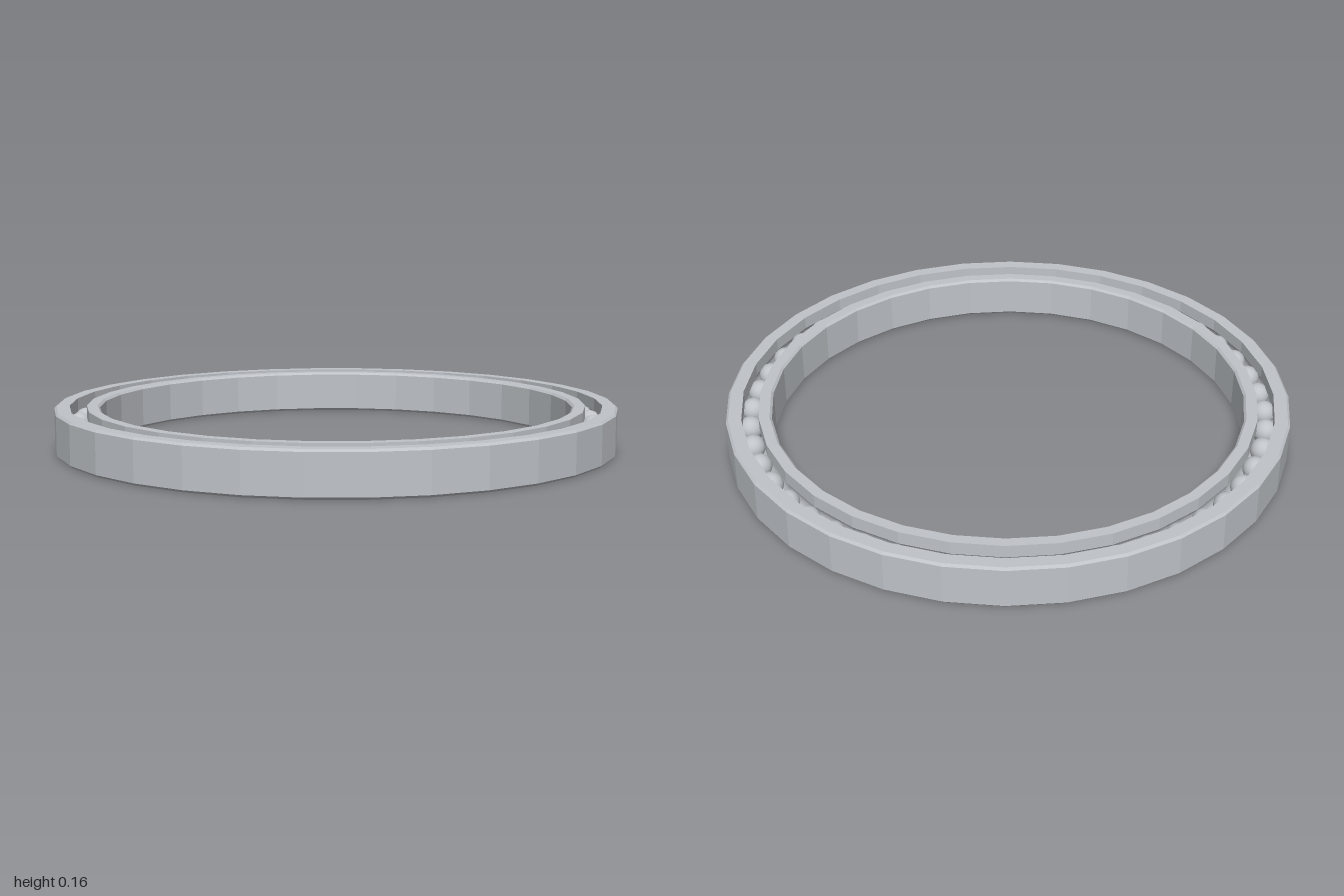
import * as THREE from 'three';

const HEIGHT = 0.155, MID = HEIGHT / 2;
const PITCH = 0.916;        // radius of the circle the balls run on
const GAP = 0.03;           // half the gap between the two races
const BALL = 0.043, GROOVE = 0.044;
const BEVEL = 0.008;

// Faceted ring: bevelled wall on one side, ball groove on the other.
// side = 1 for the outer race, -1 for the inner race.
function makeRace(name, wall, side, material) {
  const edge = PITCH + side * GAP;
  const w = wall - side * BEVEL;
  const pts = [
    [edge, 0], [w, 0], [wall, BEVEL],
    [wall, HEIGHT - BEVEL], [w, HEIGHT], [edge, HEIGHT],
  ];
  // Groove arc, from top to bottom
  const a = Math.acos(GAP / GROOVE), steps = 8;
  for (let i = 0; i <= steps; i++) {
    const t = a - (2 * a * i) / steps;
    pts.push([PITCH + side * GROOVE * Math.cos(t), MID + GROOVE * Math.sin(t)]);
  }
  pts.push(pts[0]);
  if (side < 0) pts.reverse();

  const profile = pts.map(([r, y]) => new THREE.Vector2(r, y));
  const geometry = new THREE.LatheGeometry(profile, 32).toNonIndexed();
  geometry.computeVertexNormals();   // flat facets
  const mesh = new THREE.Mesh(geometry, material);
  mesh.name = name;
  return mesh;
}

export function createModel() {
  const model = new THREE.Group();
  model.name = 'ballBearing';
  const steel = new THREE.MeshStandardMaterial({ color: 0xc0c4c9 });
  steel.name = 'steel';

  model.add(makeRace('outerRace', 1, 1, steel));
  model.add(makeRace('innerRace', 0.84, -1, steel));

  // Ring of balls between the races
  const balls = new THREE.Group();
  balls.name = 'balls';
  const sphere = new THREE.SphereGeometry(BALL, 20, 14);
  const count = 48;
  for (let i = 0; i < count; i++) {
    const t = (i / count) * Math.PI * 2;
    const ball = new THREE.Mesh(sphere, steel);
    ball.name = 'ball';
    ball.position.set(PITCH * Math.cos(t), MID, PITCH * Math.sin(t));
    balls.add(ball);
  }
  model.add(balls);
  return model;
}
